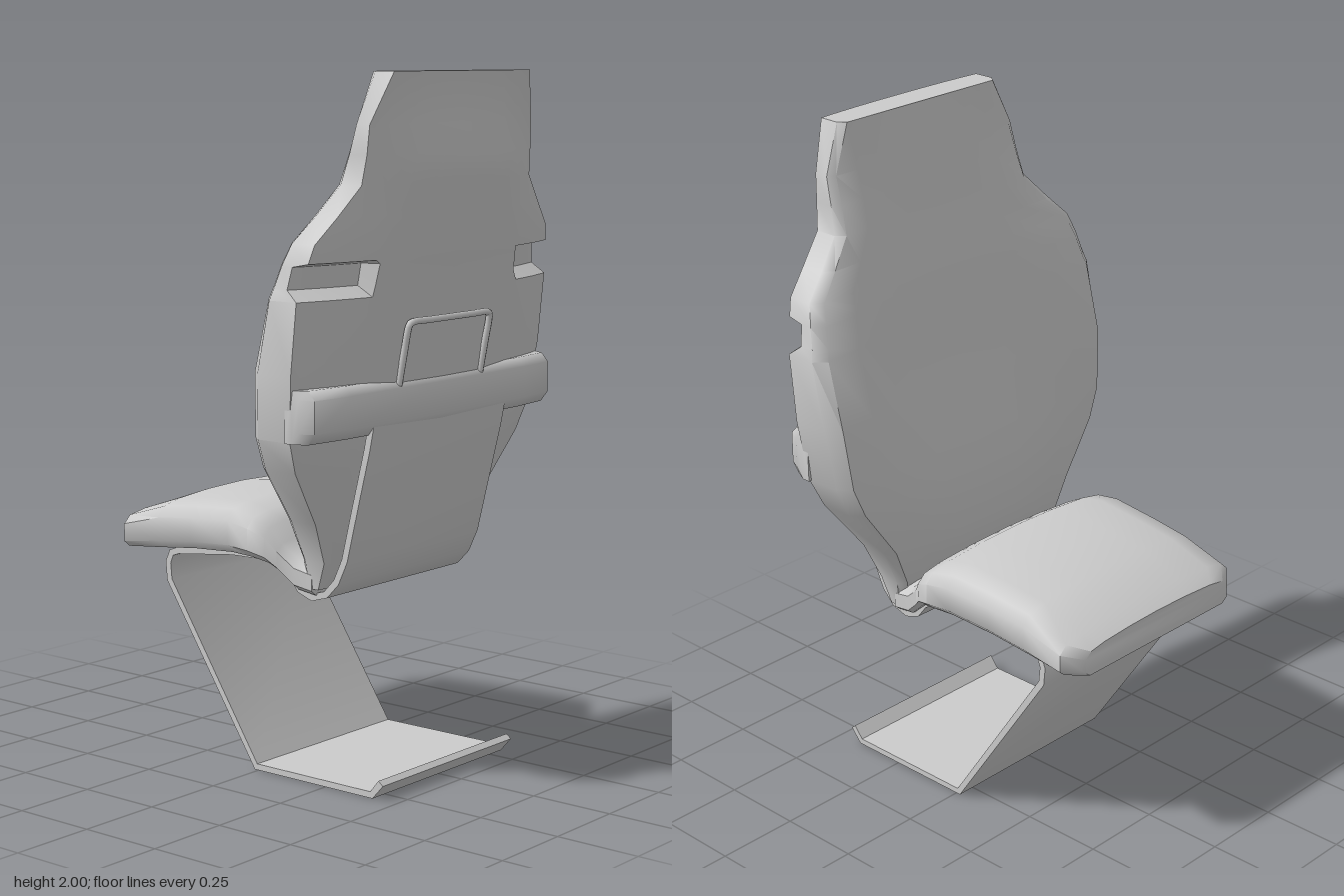
import * as THREE from 'three';
import { toCreasedNormals } from 'three/addons/utils/BufferGeometryUtils.js';

const material = new THREE.MeshStandardMaterial({ color: 0xcccccc, side: THREE.DoubleSide });

function part(name, geometry) {
  const mesh = new THREE.Mesh(geometry, material);
  mesh.name = name;
  return mesh;
}

// Skins a series of closed rings of [x, y, z] points and caps both ends.
function loft(rings, crease = 0.8) {
  const n = rings[0].length;
  const pos = rings.flat();
  const tris = [];
  for (let r = 0; r < rings.length - 1; r++) {
    for (let i = 0; i < n; i++) {
      const a = r * n + i, b = r * n + (i + 1) % n;
      tris.push([a, b, a + n], [b, b + n, a + n]);
    }
  }
  // Caps are strips between mirrored points of the ring
  const last = (rings.length - 1) * n;
  for (let i = 0; i < n / 2 - 1; i++) {
    const a = i, b = i + 1, c = n - 1 - i, d = n - 2 - i;
    tris.push([a, c, b], [b, c, d]);
    tris.push([last + a, last + b, last + c], [last + b, last + d, last + c]);
  }
  // Turn the faces outward
  const v = pos.map((p) => new THREE.Vector3(...p));
  const volume = tris.reduce((s, [a, b, c]) => s + v[a].dot(v[b].clone().cross(v[c])), 0);
  const index = tris.flatMap(([a, b, c]) => (volume < 0 ? [a, c, b] : [a, b, c]));
  const g = new THREE.BufferGeometry();
  g.setAttribute('position', new THREE.Float32BufferAttribute(pos.flat(), 3));
  g.setIndex(index);
  return toCreasedNormals(g, crease);
}

// Mirrors a half section (x >= 0, from one centre point round to the other).
function mirrorRing(half) {
  const left = half.slice(1, -1).reverse().map(([x, y, z]) => [-x, y, z]);
  return [...half, ...left];
}

function backrest() {
  // y, half width, front centre z, front wing z, back edge z, back centre z, pocket depth
  const rows = [
    [2.00, 0.31, 0.41, 0.405, 0.49, 0.50, 0],
    [1.86, 0.37, 0.385, 0.395, 0.455, 0.485, 0],
    [1.78, 0.375, 0.37, 0.37, 0.45, 0.513, 0],
    [1.70, 0.385, 0.355, 0.345, 0.44, 0.50, 0],
    [1.62, 0.46, 0.335, 0.32, 0.42, 0.485, 0],
    [1.55, 0.53, 0.315, 0.295, 0.40, 0.475, 0],
    [1.50, 0.545, 0.305, 0.275, 0.39, 0.467, 0],
    [1.49, 0.548, 0.303, 0.272, 0.388, 0.465, 0.05],
    [1.43, 0.56, 0.29, 0.253, 0.375, 0.455, 0.045],
    [1.40, 0.57, 0.285, 0.245, 0.37, 0.45, 0],
    [1.20, 0.57, 0.24, 0.195, 0.35, 0.425, 0],
    [1.02, 0.55, 0.195, 0.18, 0.33, 0.40, 0],
    [0.93, 0.51, 0.175, 0.175, 0.315, 0.38, 0],
    [0.77, 0.39, 0.155, 0.17, 0.285, 0.335, 0],
    [0.65, 0.335, 0.17, 0.18, 0.27, 0.305, 0],
    [0.57, 0.325, 0.20, 0.20, 0.24, 0.25, 0],
  ];
  const rings = rows.map(([y, w, fc, fw, be, bc, pocket]) => {
    const half = [];
    // Padded front with raised side bolsters
    for (const [u, s] of [[0, 0], [0.3, 0.05], [0.5, 0.2], [0.72, 0.75], [0.94, 1]]) {
      half.push([u * w, y, fc + (fw - fc) * s]);
    }
    half.push([w, y, fw + (be - fw) * 0.25]);
    // Curved back shell with a grip pocket on each side
    for (const u of [1, 0.95, 0.8, 0.6, 0.57, 0.3, 0]) {
      const z = be + (bc - be) * (1 - u ** 2.5) - (u >= 0.6 ? pocket : 0);
      half.push([u * w, y, z]);
    }
    return mirrorRing(half);
  });
  return part('backrest', loft(rings));
}

function seat() {
  // z, half width, top y, bottom y
  const rows = [
    [-0.517, 0.31, 0.695, 0.602],
    [-0.47, 0.365, 0.722, 0.606],
    [-0.33, 0.365, 0.772, 0.62],
    [-0.20, 0.37, 0.788, 0.635],
    [-0.05, 0.378, 0.80, 0.645],
    [0.03, 0.385, 0.782, 0.643],
    [0.08, 0.37, 0.755, 0.63],
    [0.11, 0.35, 0.705, 0.605],
    [0.16, 0.335, 0.665, 0.56],
    [0.22, 0.33, 0.65, 0.55],
  ];
  const rings = rows.map(([z, w, top, bottom]) => {
    const h = top - bottom;
    return mirrorRing([
      [0, top, z], [0.4 * w, top - 0.03 * h, z], [0.75 * w, top - 0.1 * h, z],
      [0.93 * w, top - 0.2 * h, z], [w, top - 0.4 * h, z],
      [w, bottom + 0.15 * h, z], [0.94 * w, bottom, z], [0, bottom, z],
    ]);
  });
  return part('seatCushion', loft(rings));
}

// One bent sheet: back cover, seat support, sloping leg and foot
function frame() {
  const path = [
    [0.413, 1.06], [0.397, 0.98], [0.357, 0.82], [0.318, 0.66], [0.288, 0.595], [0.25, 0.555],
    [0.2, 0.54], [0.155, 0.556], [0.125, 0.595], [0.09, 0.62], [0.03, 0.635], [-0.1, 0.632],
    [-0.31, 0.607], [-0.337, 0.597], [-0.35, 0.567], [-0.345, 0.515],
    [-0.01, 0.011], [0.415, 0.011], [0.448, 0.05],
  ].map(([z, y]) => new THREE.Vector2(z, y));
  const t = 0.01;
  const offset = (side) => path.map((p, i) => {
    const a = p.clone().sub(path[Math.max(i - 1, 0)]).normalize();
    const b = path[Math.min(i + 1, path.length - 1)].clone().sub(p).normalize();
    const d = a.add(b).normalize();
    return new THREE.Vector2(p.x - d.y * t * side, p.y + d.x * t * side);
  });
  const shape = new THREE.Shape([...offset(1), ...offset(-1).reverse()]);
  const g = new THREE.ExtrudeGeometry(shape, { depth: 0.61, bevelEnabled: false });
  g.rotateY(-Math.PI / 2).translate(0.305, 0, 0);
  return part('sheetFrame', toCreasedNormals(g, 0.6));
}

function crossbar() {
  // x, rear z; the ends wrap forward
  const stations = [[-0.56, 0.37], [-0.54, 0.41], [-0.4, 0.425], [0, 0.432], [0.4, 0.425], [0.54, 0.41], [0.56, 0.37]];
  const rings = stations.map(([x, z]) => [
    [x, 1.165, 0.32], [x, 1.165, z - 0.025], [x, 1.14, z - 0.002],
    [x, 1.05, z - 0.002], [x, 1.02, z - 0.025], [x, 1.02, 0.32],
  ]);
  return part('rearCrossbar', loft(rings, 1.0));
}

function handle() {
  const half = [[0.188, 1.14], [0.188, 1.25], [0.188, 1.3], [0.184, 1.317], [0.168, 1.322], [0.1, 1.322]];
  const points = [...half, ...half.slice().reverse().map(([x, y]) => [-x, y])]
    .map(([x, y]) => new THREE.Vector3(x, y, 0.413 + (y - 1.14) * 0.2));
  return part('rearHandle', new THREE.TubeGeometry(new THREE.CatmullRomCurve3(points), 60, 0.01, 8));
}

export function createModel() {
  const chair = new THREE.Group();
  chair.name = 'chair';
  chair.add(backrest(), seat(), frame(), crossbar(), handle());
  return chair;
}
